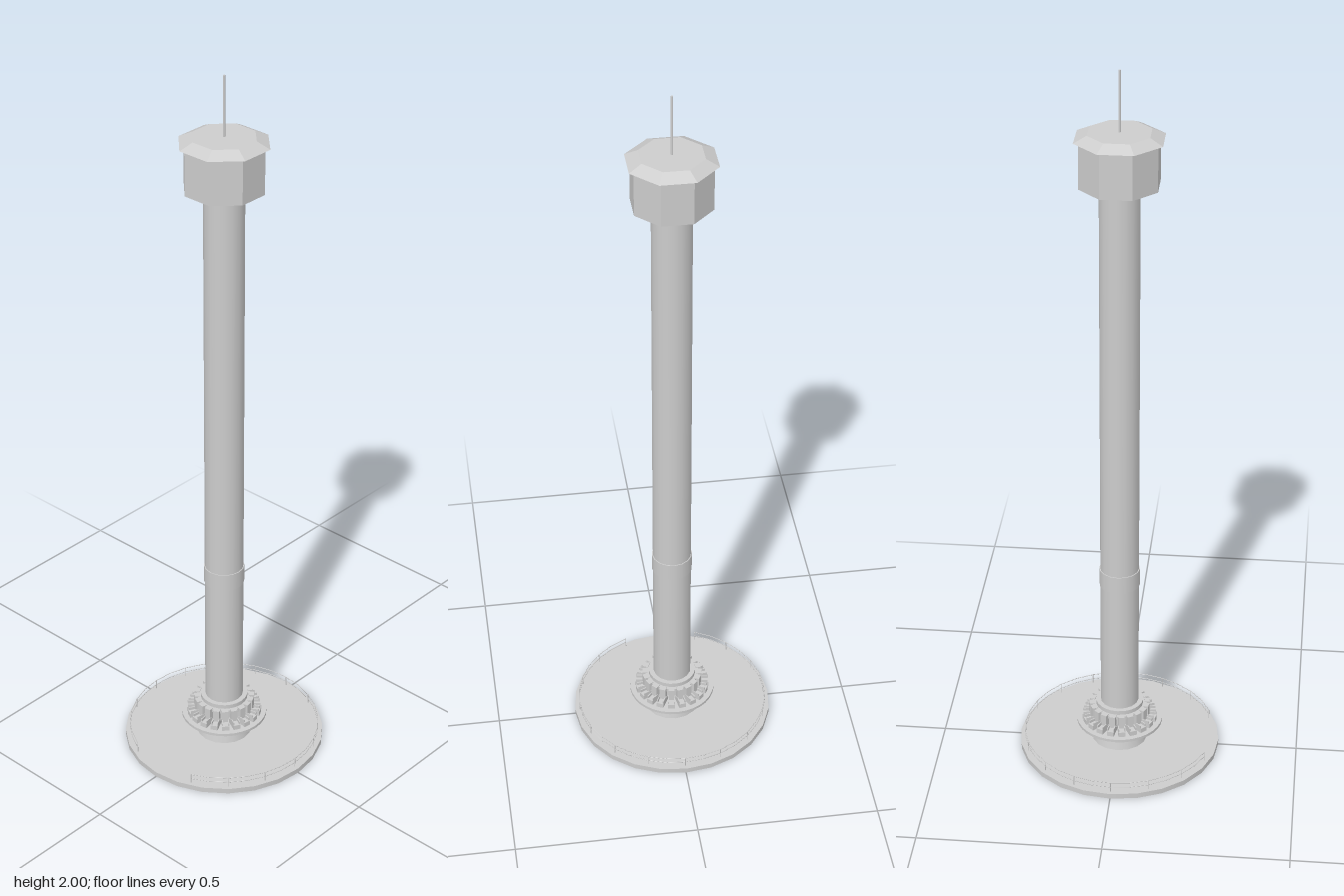
import * as THREE from 'three';

export function createModel() {
  const model = new THREE.Group();
  const grey = new THREE.MeshStandardMaterial({ color: 0xcccccc });
  grey.name = 'light grey';

  const add = (name, geo, parent = model) => {
    const mesh = new THREE.Mesh(geo, grey);
    mesh.name = name;
    parent.add(mesh);
    return mesh;
  };
  // Upright cylinder or cone between two heights
  const drum = (name, rTop, rBottom, y0, y1, sides, parent, turn = 0) => {
    let geo = new THREE.CylinderGeometry(rTop, rBottom, y1 - y0, sides);
    geo.rotateY(turn);
    if (sides <= 8) {
      geo = geo.toNonIndexed();
      geo.computeVertexNormals();
    }
    const mesh = add(name, geo, parent);
    mesh.position.y = (y0 + y1) / 2;
    return mesh;
  };
  // Thin bar between two points
  const bar = (name, a, b, r, parent) => {
    const mesh = add(name, new THREE.CylinderGeometry(r, r, a.distanceTo(b), 6), parent);
    mesh.position.copy(a).add(b).multiplyScalar(0.5);
    mesh.quaternion.setFromUnitVectors(new THREE.Vector3(0, 1, 0), b.clone().sub(a).normalize());
    return mesh;
  };

  // Ground platform and the plinth under the ride
  drum('platform', 0.28, 0.28, 0, 0.015, 24, model, Math.PI / 2);
  drum('plinth', 0.066, 0.077, 0.015, 0.065, 16);

  // Railing with an entrance gap at the front
  const railing = new THREE.Group();
  railing.name = 'railing';
  model.add(railing);
  const railPoint = (i, y) => {
    const a = (i * Math.PI * 2) / 32;
    return new THREE.Vector3(Math.sin(a) * 0.267, y, Math.cos(a) * 0.267);
  };
  for (let i = 2; i <= 30; i++) {
    if (i % 2 === 0) bar('railPost', railPoint(i, 0.014), railPoint(i, 0.043), 0.0011, railing);
    if (i < 30) {
      for (const y of [0.029, 0.043]) bar('rail', railPoint(i, y), railPoint(i + 1, y), 0.001, railing);
    }
  }

  // Tower shaft and collar
  drum('shaft', 0.053, 0.053, 0.015, 1.7, 16);
  drum('collar', 0.0555, 0.0555, 0.52, 0.57, 16);

  // Ring-shaped passenger carriage
  const carriage = new THREE.Group();
  carriage.name = 'carriage';
  model.add(carriage);
  drum('carriageFloor', 0.12, 0.12, 0.073, 0.081, 32, carriage);
  drum('carriageCore', 0.066, 0.066, 0.07, 0.14, 24, carriage);
  drum('carriageBand', 0.076, 0.076, 0.118, 0.128, 24, carriage);
  const seatCount = 20;
  for (let i = 0; i < seatCount; i++) {
    const seat = new THREE.Group();
    seat.name = 'seat';
    seat.rotation.y = ((i + 0.5) * Math.PI * 2) / seatCount;
    add('seatBase', new THREE.BoxGeometry(0.02, 0.014, 0.042), seat).position.set(0, 0.088, 0.084);
    add('seatBack', new THREE.BoxGeometry(0.018, 0.048, 0.015), seat).position.set(0, 0.106, 0.077);
    for (const s of [-1, 1]) {
      add('armRest', new THREE.BoxGeometry(0.003, 0.008, 0.024), seat).position.set(s * 0.0085, 0.099, 0.09);
    }
    carriage.add(seat);
  }

  // Octagonal machine house, roof and mast
  const eighth = Math.PI / 8;
  drum('machineHouse', 0.108, 0.108, 1.697, 1.823, 8, model, eighth);
  drum('roof', 0.0855, 0.121, 1.821, 1.838, 8, model, eighth);
  drum('mast', 0.003, 0.003, 1.836, 2, 8);

  return model;
}
